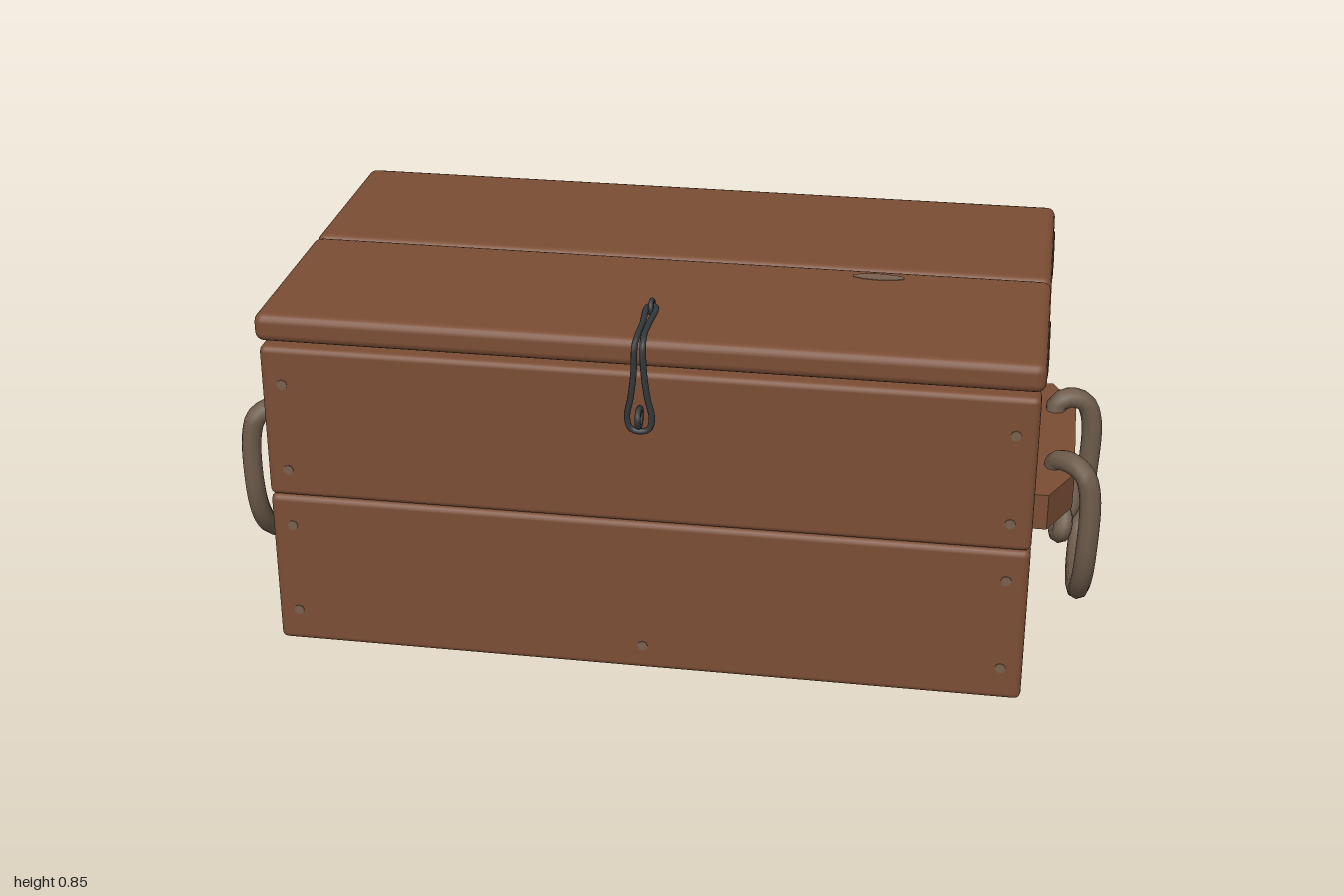
import * as THREE from 'three';
import { RoundedBoxGeometry } from 'three/addons/geometries/RoundedBoxGeometry.js';

const material = (name, color) => {
  const m = new THREE.MeshStandardMaterial({ color });
  m.name = name;
  return m;
};

export function createModel() {
  const wood = material('brown wood', 0x7a4d34);
  const rope = material('rope', 0x6e5c4b);
  const iron = material('dark iron', 0x34393c);
  const seam = material('dark seam', 0x3a241a);
  const nail = material('nail grey', 0x78604f);

  const chest = new THREE.Group();
  chest.name = 'chest';

  const add = (parent, name, geometry, mat) => {
    const mesh = new THREE.Mesh(geometry, mat);
    mesh.name = name;
    parent.add(mesh);
    return mesh;
  };
  // Box given by its lower and upper limits; radius > 0 rounds the edges.
  const block = (parent, name, x, y, z, mat, radius = 0) => {
    const size = [x, y, z].map(([a, b]) => Math.abs(b - a));
    const g = radius ? new RoundedBoxGeometry(...size, 2, radius) : new THREE.BoxGeometry(...size);
    const mesh = add(parent, name, g, mat);
    mesh.position.set((x[0] + x[1]) / 2, (y[0] + y[1]) / 2, (z[0] + z[1]) / 2);
    return mesh;
  };
  // Smooth tube through points, with rounded ends when open.
  const cord = (parent, name, points, radius, mat, segments, closed = false) => {
    const pts = points.map((p) => new THREE.Vector3(...p));
    const curve = new THREE.CatmullRomCurve3(pts, closed, 'centripetal');
    add(parent, name, new THREE.TubeGeometry(curve, segments, radius, 8, closed), mat);
    if (closed) return;
    for (const p of [pts[0], pts[pts.length - 1]]) {
      add(parent, name + 'End', new THREE.SphereGeometry(radius, 8, 6), mat).position.copy(p);
    }
  };

  // Front and back boards, two planks each
  for (const [side, z] of [['front', [0.39, 0.45]], ['back', [-0.49, -0.43]]]) {
    block(chest, side + 'LowerPlank', [-0.848, 0.848], [0, 0.373], z, wood, 0.014);
    block(chest, side + 'UpperPlank', [-0.848, 0.848], [0.374, 0.738], z, wood, 0.014);
  }
  block(chest, 'floor', [-0.8, 0.8], [0.006, 0.05], [-0.431, 0.391], wood);

  // Lid, two planks
  block(chest, 'lidFrontPlank', [-0.855, 0.855], [0.75, 0.815], [-0.021, 0.455], wood, 0.02);
  block(chest, 'lidBackPlank', [-0.855, 0.855], [0.75, 0.815], [-0.495, -0.019], wood, 0.02);

  // Each end: planks, lid tabs, cleat and knotted rope handle
  for (const s of [1, -1]) {
    const end = new THREE.Group();
    end.name = s > 0 ? 'leftEnd' : 'rightEnd';
    chest.add(end);
    const sx = (a, b) => (s > 0 ? [a, b] : [-b, -a]);
    const flip = (points) => points.map(([x, y, z]) => [s * x, y, z]);

    [[0.004, 0.249], [0.25, 0.49], [0.491, 0.748]].forEach((y, i) => {
      block(end, 'endPlank' + (i + 1), sx(0.785, 0.843), y, [-0.428, 0.388], wood);
    });

    // Tabs reaching up into the lid, with their dark outlines and cracks
    for (const [z0, z1, crackZ] of [[0.157, 0.345, 0.16], [-0.387, -0.2, -0.203]]) {
      block(end, 'lidTab', sx(0.8, 0.857), [0.74, 0.783], [z0, z1], wood);
      block(end, 'tabSeamTop', sx(0.85, 0.8575), [0.783, 0.788], [z0 - 0.005, z1 + 0.005], seam);
      for (const z of [z0, z1]) {
        block(end, 'tabSeamSide', sx(0.85, 0.8575), [0.755, 0.785], [z - 0.003, z + 0.003], seam);
      }
      for (let i = 0; i < 6; i++) {
        const y = 0.615 + i * 0.025;
        block(end, 'crack', sx(0.84, 0.844), [y, y + 0.015], [crackZ - 0.002, crackZ + 0.002], seam);
      }
    }

    // Cleat with chamfered ends
    const outline = [[0.84, -0.315], [0.88, -0.315], [0.935, -0.2], [0.935, 0.16], [0.88, 0.275], [0.84, 0.275]];
    const shape = new THREE.Shape(outline.map(([x, z]) => new THREE.Vector2(s * x, -z)));
    const cleat = new THREE.ExtrudeGeometry(shape, { depth: 0.085, bevelEnabled: false });
    cleat.rotateX(-Math.PI / 2);
    add(end, 'cleat', cleat, wood).position.y = 0.34;

    // Hanging rope loop
    cord(end, 'ropeHandle', flip([
      [0.89, 0.42, 0.125], [0.892, 0.44, 0.13], [0.925, 0.454, 0.165], [0.957, 0.44, 0.193],
      [0.972, 0.39, 0.2], [0.972, 0.22, 0.195], [0.967, 0.14, 0.155], [0.962, 0.088, 0.08],
      [0.96, 0.07, -0.02], [0.962, 0.085, -0.115], [0.967, 0.13, -0.175], [0.972, 0.22, -0.192],
      [0.974, 0.39, -0.196], [0.955, 0.44, -0.192], [0.92, 0.452, -0.185], [0.89, 0.44, -0.175], [0.888, 0.42, -0.172],
    ]), 0.024, rope, 72);

    // Knot below the cleat
    cord(end, 'knotFrontStrand', flip([
      [0.895, 0.35, 0.15], [0.898, 0.32, 0.125], [0.9, 0.303, 0.07], [0.9, 0.295, 0.01],
      [0.895, 0.29, -0.06], [0.9, 0.31, -0.13], [0.895, 0.345, -0.175],
    ]), 0.021, rope, 32);
    cord(end, 'knotLoop', flip([
      [0.895, 0.29, -0.04], [0.905, 0.283, 0.02], [0.92, 0.263, 0.065], [0.918, 0.234, 0.08],
      [0.91, 0.212, 0.045], [0.905, 0.222, 0], [0.905, 0.25, -0.04], [0.91, 0.238, -0.095],
    ]), 0.022, rope, 36);
    const wrap = [];
    for (let i = 0; i < 8; i++) {
      const a = (i / 8) * Math.PI * 2;
      wrap.push([0.903 + 0.037 * Math.cos(a), 0.27 + 0.045 * Math.sin(a), -0.022 - 0.012 * Math.sin(a)]);
    }
    cord(end, 'knotWrap', flip(wrap), 0.021, rope, 28, true);
  }

  // Wire hasp: a narrow loop over the lid edge, widening at the bottom
  const latch = new THREE.Group();
  latch.name = 'latch';
  chest.add(latch);
  const strand = [
    [0.009, 0.828, 0.305], [0.007, 0.824, 0.38], [0.007, 0.822, 0.45], [0.009, 0.808, 0.472],
    [0.011, 0.75, 0.474], [0.018, 0.69, 0.472], [0.027, 0.64, 0.468], [0.02, 0.613, 0.467],
  ];
  const other = strand.map(([x, y, z]) => [-x, y, z]).reverse();
  cord(latch, 'haspWire', [...strand, [0, 0.607, 0.467], ...other, [0, 0.829, 0.298]], 0.007, iron, 90, true);

  // Staples holding the hasp
  const lidStaple = add(latch, 'lidStaple', new THREE.TorusGeometry(0.015, 0.006, 6, 12), iron);
  lidStaple.position.set(0, 0.829, 0.305);
  lidStaple.rotation.y = Math.PI / 2;
  const frontStaple = add(latch, 'frontStaple', new THREE.TorusGeometry(0.02, 0.007, 6, 12), iron);
  frontStaple.position.set(0, 0.642, 0.472);
  frontStaple.rotation.y = Math.PI / 2;

  // Nail heads on the front and back boards
  for (const z of [0.45, -0.49]) {
    for (const [x, y] of [[0.8, 0.65], [0.8, 0.44], [0.8, 0.3], [0.8, 0.08], [0, 0.06]]) {
      for (const s of x ? [1, -1] : [1]) {
        const head = add(chest, 'nailHead', new THREE.CylinderGeometry(0.012, 0.012, 0.004, 8), nail);
        head.rotation.x = Math.PI / 2;
        head.position.set(s * x, y, z);
      }
    }
  }

  // Worn patch on the lid
  const patch = add(chest, 'wornPatch', new THREE.CylinderGeometry(0.06, 0.06, 0.003, 10), nail);
  patch.scale.z = 0.3;
  patch.position.set(0.47, 0.815, 0.025);

  return chest;
}
